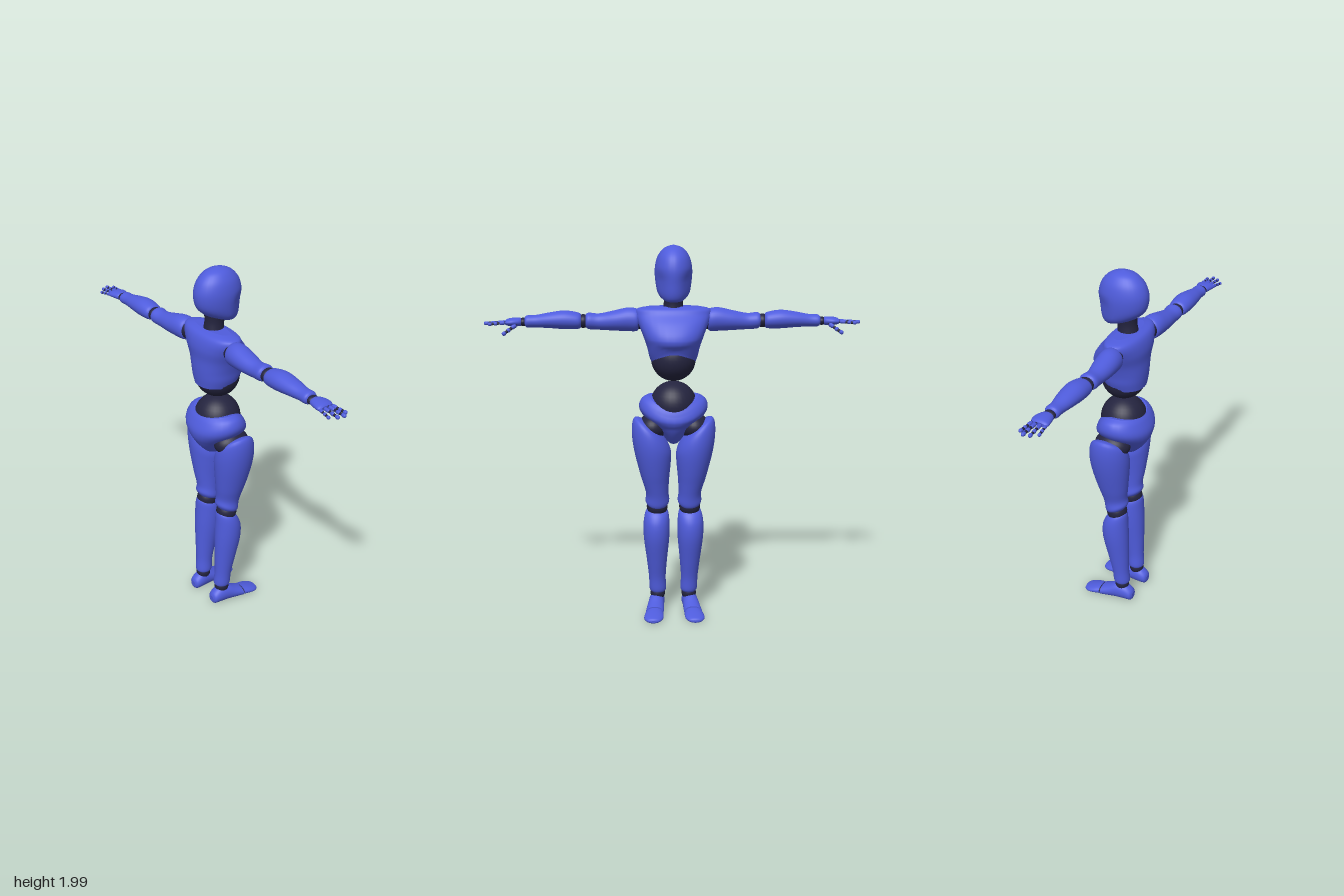
import * as THREE from 'three';

const blue = new THREE.MeshStandardMaterial({ color: 0x4f5cdc });
blue.name = 'blue shell';
const dark = new THREE.MeshStandardMaterial({ color: 0x24243f });
dark.name = 'dark joint';

const clamp01 = (v) => Math.min(1, Math.max(0, v));

// Smooth interpolation of one column of the section table
function spline(rows, k, i, t) {
  const at = (j) => rows[Math.min(rows.length - 1, Math.max(0, j))][k];
  const a = at(i - 1), b = at(i), c = at(i + 1), d = at(i + 2);
  return b + 0.5 * t * (c - a + t * (2 * a - 5 * b + 4 * c - d + t * (3 * (b - c) + d - a)));
}

// Skin over elliptical sections [y, centreX, centreZ, radiusX, radiusZ], with capped ends
function loft(sections, { warp, n = 32, steps = 5, power = 1 } = {}) {
  const pos = [], idx = [];
  const rings = (sections.length - 1) * steps + 1;
  const p = new THREE.Vector3();
  const bend = (v) => Math.sign(v) * Math.abs(v) ** power;
  for (let r = 0; r < rings; r++) {
    const i = Math.min(sections.length - 2, Math.floor(r / steps));
    const [y, cx, cz, rx, rz] = [0, 1, 2, 3, 4].map((k) => spline(sections, k, i, r / steps - i));
    for (let j = 0; j < n; j++) {
      const a = (j / n) * Math.PI * 2;
      p.set(cx + rx * bend(Math.cos(a)), y, cz + rz * bend(Math.sin(a)));
      if (warp) warp(p);
      pos.push(p.x, p.y, p.z);
    }
  }
  for (let r = 0; r < rings - 1; r++) {
    for (let j = 0; j < n; j++) {
      const a = r * n + j, b = r * n + ((j + 1) % n);
      idx.push(a, a + n, b, b, a + n, b + n);
    }
  }
  for (const r of [0, rings - 1]) {
    const base = pos.length / 3, mid = [0, 0, 0];
    for (let j = 0; j < n; j++) {
      for (let k = 0; k < 3; k++) {
        const v = pos[(r * n + j) * 3 + k];
        mid[k] += v / n;
        pos.push(v);
      }
    }
    pos.push(...mid);
    for (let j = 0; j < n; j++) {
      const a = base + j, b = base + ((j + 1) % n);
      if (r === 0) idx.push(base + n, a, b);
      else idx.push(base + n, b, a);
    }
  }
  const g = new THREE.BufferGeometry();
  g.setAttribute('position', new THREE.Float32BufferAttribute(pos, 3));
  g.setIndex(idx);
  g.computeVertexNormals();
  return g;
}

const ball = (x, y, z, rx, ry = rx, rz = rx) =>
  new THREE.SphereGeometry(1, 32, 20).scale(rx, ry, rz).translate(x, y, z);

// Rounded rod between two points
function rod(a, b, r) {
  const dir = b.clone().sub(a);
  const len = dir.length();
  const q = new THREE.Quaternion().setFromUnitVectors(new THREE.Vector3(0, 1, 0), dir.normalize());
  const mid = a.clone().add(b).multiplyScalar(0.5);
  return new THREE.CapsuleGeometry(r, Math.max(0.001, len - 2 * r), 4, 10)
    .applyQuaternion(q).translate(mid.x, mid.y, mid.z);
}

export function createModel() {
  const model = new THREE.Group();
  model.name = 'mannequin';
  const body = new THREE.Group();
  body.name = 'body';
  body.rotation.y = Math.PI * 0.75;
  model.add(body);

  const add = (name, geo, mat, parent = body, side = 1) => {
    if (side < 0) {
      geo.scale(-1, 1, 1);
      const ix = geo.index.array;
      for (let i = 0; i < ix.length; i += 3) [ix[i], ix[i + 1]] = [ix[i + 1], ix[i]];
    }
    const m = new THREE.Mesh(geo, mat);
    m.name = name;
    parent.add(m);
  };

  // Head: rounded skull running down to a forward chin, with narrowed cheeks
  add('head', loft([
    [1.712, 0, 0.118, 0.035, 0.03], [1.722, 0, 0.113, 0.058, 0.052], [1.75, 0, 0.085, 0.08, 0.092],
    [1.8, 0, 0.06, 0.092, 0.124], [1.87, 0, 0.055, 0.0975, 0.135], [1.93, 0, 0.055, 0.087, 0.119],
    [1.97, 0, 0.055, 0.064, 0.086], [1.99, 0, 0.055, 0.038, 0.05], [2.0, 0, 0.055, 0.004, 0.005],
  ], {
    warp: (p) => { p.x *= 1 - 0.16 * clamp01((p.z - 0.08) / 0.06) * clamp01((1.88 - p.y) / 0.05); },
  }), blue);
  add('neck', loft([
    [1.64, 0, 0.03, 0.06, 0.06], [1.69, 0, 0.033, 0.051, 0.053], [1.73, 0, 0.038, 0.05, 0.053],
    [1.79, 0, 0.045, 0.06, 0.065],
  ]), dark);

  // Torso: chest shell with an arched front rim over a ball waist
  add('chest', loft([
    [1.375, 0, 0.055, 0.108, 0.117], [1.42, 0, 0.06, 0.126, 0.129], [1.47, 0, 0.066, 0.138, 0.139],
    [1.53, 0, 0.065, 0.158, 0.139], [1.59, 0, 0.045, 0.182, 0.124], [1.64, 0, 0.027, 0.198, 0.098],
    [1.67, 0, 0.025, 0.19, 0.078], [1.683, 0, 0.025, 0.13, 0.045],
  ], {
    power: 0.9,
    warp: (p) => { p.y += 0.075 * clamp01((p.z - 0.06) / 0.12) ** 1.5 * clamp01((1.52 - p.y) / 0.14); },
  }), blue);
  add('waistBall', ball(0, 1.41, 0.057, 0.118), dark);
  add('abdomenBall', ball(0, 1.167, 0.057, 0.124), dark);

  // Pelvis: bowl with raised sides, dipped front and narrow crotch
  add('pelvis', loft([
    [0.955, 0, 0.05, 0.018, 0.03], [0.97, 0, 0.05, 0.035, 0.062], [1.02, 0, 0.047, 0.075, 0.108],
    [1.07, 0, 0.045, 0.125, 0.136], [1.12, 0, 0.045, 0.17, 0.147], [1.16, 0, 0.048, 0.183, 0.146],
    [1.2, 0, 0.054, 0.168, 0.134], [1.22, 0, 0.057, 0.135, 0.119],
  ], {
    warp: (p) => {
      const f = (p.z - 0.05) / 0.14;
      p.y -= (f > 0 ? 0.085 * f * f : 0.025 * f * f) * clamp01((p.y - 1.05) / 0.15);
    },
  }), blue);

  for (const side of [1, -1]) {
    const word = side > 0 ? 'left' : 'right';
    const limb = (name) => {
      const g = new THREE.Group();
      g.name = word + name;
      body.add(g);
      return (part, geo, mat) => add(part, geo, mat, g, side);
    };

    // Leg: thigh sheared along the hip cut, knee, shin and ankle
    const leg = limb('Leg');
    leg('hipJoint', ball(0.11, 1.05, 0.065, 0.078, 0.07, 0.1), dark);
    leg('thigh', loft([
      [0.612, 0.087, 0.055, 0.045, 0.045], [0.638, 0.087, 0.055, 0.064, 0.062],
      [0.69, 0.088, 0.063, 0.061, 0.066], [0.78, 0.1, 0.073, 0.077, 0.086],
      [0.9, 0.114, 0.08, 0.099, 0.106], [0.98, 0.118, 0.08, 0.104, 0.11],
      [1.035, 0.12, 0.077, 0.087, 0.097], [1.06, 0.12, 0.075, 0.045, 0.055],
    ], {
      warp: (p) => {
        p.y += (p.x - 0.12) * 0.75 * clamp01((p.y - 0.75) / 0.28);
        p.y -= (p.z - 0.055) * 0.4 * clamp01((0.75 - p.y) / 0.12);
      },
    }), blue);
    leg('knee', ball(0.088, 0.605, 0.055, 0.057, 0.055, 0.056), dark);
    leg('shin', loft([
      [0.112, 0.085, 0.028, 0.036, 0.038], [0.13, 0.085, 0.028, 0.046, 0.047],
      [0.2, 0.088, 0.034, 0.046, 0.048], [0.3, 0.09, 0.046, 0.055, 0.06],
      [0.43, 0.092, 0.061, 0.069, 0.074], [0.52, 0.092, 0.063, 0.07, 0.072],
      [0.575, 0.09, 0.058, 0.061, 0.062], [0.597, 0.09, 0.056, 0.04, 0.042],
    ], { warp: (p) => { p.y -= (p.z - 0.055) * 0.4 * clamp01((p.y - 0.48) / 0.1); } }), blue);
    leg('ankle', ball(0.086, 0.1, 0.026, 0.04), dark);

    // Foot: heel block and separate toe cap, flattened on the ground
    const flat = { warp: (p) => { p.z = Math.min(p.z, -0.006); } };
    leg('foot', loft([
      [-0.047, 0.088, -0.038, 0.016, 0.018], [-0.036, 0.088, -0.04, 0.034, 0.035],
      [0, 0.089, -0.05, 0.042, 0.048], [0.05, 0.094, -0.05, 0.043, 0.05],
      [0.1, 0.1, -0.038, 0.047, 0.038], [0.14, 0.105, -0.029, 0.049, 0.03],
    ], flat).rotateX(Math.PI / 2), blue);
    leg('toeJoint', ball(0.106, 0.03, 0.146, 0.043, 0.022, 0.02), dark);
    leg('toes', loft([
      [0.148, 0.106, -0.029, 0.047, 0.027], [0.18, 0.109, -0.025, 0.052, 0.024],
      [0.215, 0.112, -0.02, 0.05, 0.019], [0.24, 0.113, -0.017, 0.034, 0.013],
      [0.247, 0.113, -0.015, 0.012, 0.006],
    ], flat).rotateX(Math.PI / 2), blue);

    // Arm: sections run outward, offset in height by the second column
    const arm = limb('Arm');
    const along = (sections) => loft(sections).rotateZ(-Math.PI / 2).translate(0, 1.6, 0);
    arm('shoulderJoint', ball(0.185, 1.61, 0.012, 0.045, 0.05, 0.05), dark);
    arm('upperArm', along([
      [0.178, -0.01, 0.012, 0.04, 0.04], [0.192, -0.01, 0.012, 0.059, 0.058],
      [0.24, -0.012, 0.008, 0.062, 0.062], [0.31, -0.006, 0.004, 0.053, 0.058],
      [0.39, 0, 0, 0.043, 0.046], [0.445, -0.004, 0, 0.043, 0.05], [0.462, -0.004, 0, 0.03, 0.036],
    ]), blue);
    arm('elbow', ball(0.472, 1.603, 0, 0.034, 0.036, 0.042), dark);
    arm('forearm', along([
      [0.482, -0.004, 0, 0.03, 0.038], [0.5, -0.005, 0, 0.043, 0.052], [0.57, -0.01, 0, 0.049, 0.058],
      [0.65, -0.008, 0, 0.041, 0.051], [0.72, -0.003, 0, 0.033, 0.039],
      [0.765, -0.002, 0, 0.032, 0.039], [0.778, -0.002, 0, 0.022, 0.028],
    ]), blue);
    arm('wrist', ball(0.787, 1.6, 0, 0.024, 0.022, 0.031), dark);
    arm('palm', along([
      [0.792, 0, 0, 0.016, 0.024], [0.806, 0, 0.002, 0.022, 0.036], [0.84, 0, 0.004, 0.022, 0.047],
      [0.868, 0.001, 0, 0.018, 0.047], [0.88, 0.002, 0, 0.01, 0.038],
    ]), blue);

    // Fingers: three rounded bones each with dark knuckles between
    const digit = (name, from, to, r) => {
      const a = new THREE.Vector3(...from), b = new THREE.Vector3(...to);
      const at = (t) => a.clone().lerp(b, t);
      arm(name + 'Core', rod(at(0), at(0.9), r * 0.72), dark);
      for (const [t0, t1] of [[0.05, 0.4], [0.46, 0.7], [0.76, 1]]) {
        arm(name + 'Bone', rod(at(t0), at(t1), r), blue);
      }
    };
    digit('indexFinger', [0.872, 1.599, 0.034], [0.967, 1.592, 0.045], 0.0095);
    digit('middleFinger', [0.875, 1.6, 0.012], [0.991, 1.594, 0.015], 0.0098);
    digit('ringFinger', [0.872, 1.599, -0.012], [0.981, 1.591, -0.016], 0.0095);
    digit('littleFinger', [0.864, 1.597, -0.034], [0.951, 1.588, -0.047], 0.0085);
    digit('thumb', [0.818, 1.59, 0.032], [0.888, 1.542, 0.088], 0.0115);
  }
  return model;
}
